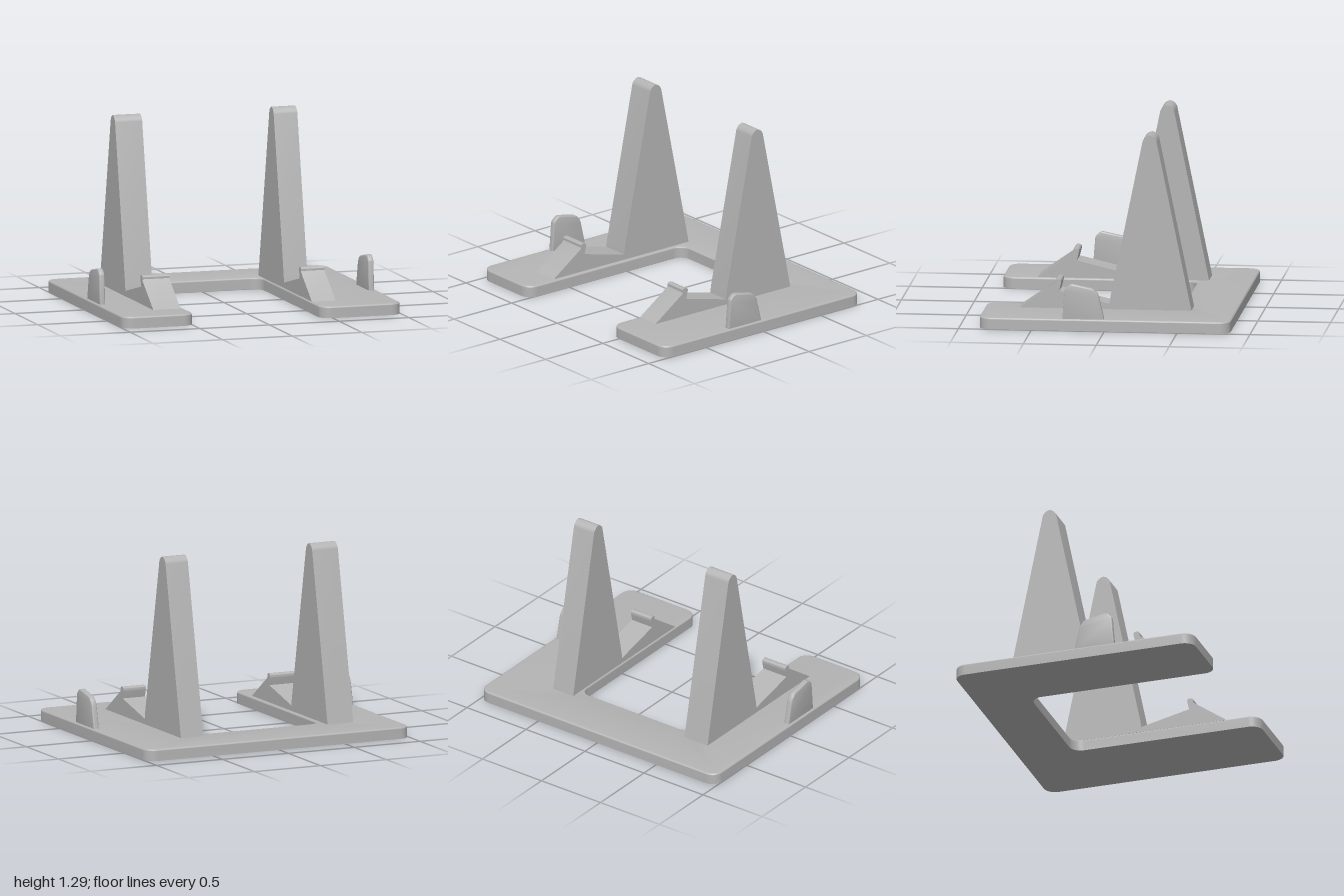
import * as THREE from 'three';
import { toCreasedNormals } from 'three/addons/utils/BufferGeometryUtils.js';

const grey = new THREE.MeshStandardMaterial({ color: 0xb4b4b4 });
grey.name = 'grey plastic';

const TOP = 0.08; // height of the base plate

// Closed outline whose corners [x, y, radius] are rounded
function roundedOutline(corners) {
  const shape = new THREE.Shape();
  const n = corners.length;
  corners.forEach(([x, y, r], i) => {
    const p = new THREE.Vector2(x, y);
    const toward = (c, d) => new THREE.Vector2(c[0], c[1]).sub(p).setLength(d).add(p);
    const prev = corners[(i + n - 1) % n], next = corners[(i + 1) % n];
    const a = toward(prev, r), b = toward(next, r);
    const ca = toward(prev, r * 0.45), cb = toward(next, r * 0.45);
    if (i === 0) shape.moveTo(a.x, a.y); else shape.lineTo(a.x, a.y);
    if (r > 0) shape.bezierCurveTo(ca.x, ca.y, cb.x, cb.y, b.x, b.y);
  });
  shape.closePath();
  return shape;
}

function addMesh(group, name, geometry) {
  const mesh = new THREE.Mesh(toCreasedNormals(geometry, 0.6), grey);
  mesh.name = name;
  group.add(mesh);
}

// Side profile in (z, y), extruded across x from x0 to x1
function sideExtrude(shape, x0, x1, bevel = 0) {
  const geometry = new THREE.ExtrudeGeometry(shape, {
    depth: x1 - x0 - 2 * bevel, curveSegments: 8,
    bevelEnabled: bevel > 0, bevelThickness: bevel, bevelSize: bevel,
    bevelOffset: -bevel, bevelSegments: 3,
  });
  return geometry.rotateY(-Math.PI / 2).translate(x1 - bevel, 0, 0);
}

export function createModel() {
  const group = new THREE.Group();
  group.name = 'displayStand';

  // U-shaped base, open to the front, with a softened top edge
  const r = 0.08, b = 0.012;
  const base = roundedOutline([
    [-1, -0.86, r], [-0.49, -0.86, r], [-0.49, 0.48, r], [0.42, 0.48, r],
    [0.42, -0.86, r], [1, -0.86, r], [1, 0.86, r], [-1, 0.86, r],
  ]);
  const slab = new THREE.ExtrudeGeometry(base, {
    depth: TOP - b, bevelEnabled: false, curveSegments: 8,
  });
  addMesh(group, 'basePlate', slab.rotateX(-Math.PI / 2));
  const rim = new THREE.ExtrudeGeometry(base, {
    depth: 0.002, curveSegments: 8, bevelThickness: b, bevelSize: b,
    bevelOffset: -b, bevelSegments: 3,
  });
  addMesh(group, 'baseTopEdge', rim.rotateX(-Math.PI / 2).translate(0, TOP - b - 0.002, 0));

  // Two uprights, each a tall tapered back rest with a lipped cradle in front
  const upright = roundedOutline([
    [0.62, TOP, 0], [0.387, 0.243, 0], [0.38, 0.255, 0],
    [0.385, 0.28, 0.02], [0.335, 0.28, 0.02],
    [0.34, 0.25, 0], [0.352, 0.2, 0], [0.008, 0.118, 0], [0, 0.17, 0],
    [-0.228, 1.29, 0.045], [-0.307, 1.29, 0.045], [-0.555, TOP, 0],
  ].reverse());
  addMesh(group, 'rightUpright', sideExtrude(upright, -0.71, -0.515));
  addMesh(group, 'leftUpright', sideExtrude(upright, 0.428, 0.598));

  // Thin side guides near the outer edges
  const guide = roundedOutline([
    [0.002, 0.07, 0], [0.29, 0.07, 0], [0.273, 0.285, 0.01],
    [0.235, 0.323, 0.02], [0.075, 0.29, 0.02], [0.043, 0.25, 0.02],
  ]);
  addMesh(group, 'rightGuide', sideExtrude(guide, -0.985, -0.945, 0.008));
  addMesh(group, 'leftGuide', sideExtrude(guide, 0.945, 0.985, 0.008));

  return group;
}
